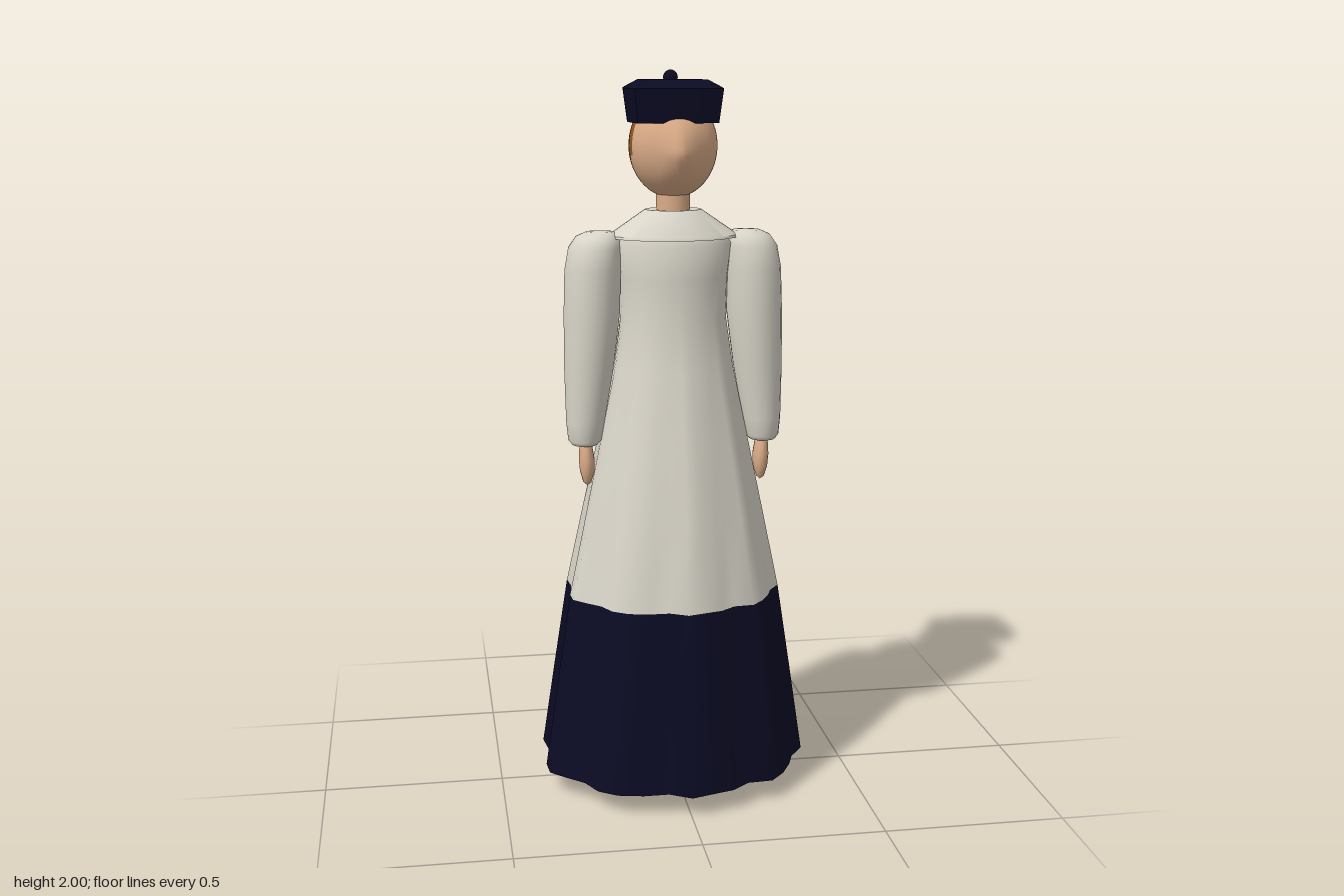
import * as THREE from 'three';
import { toCreasedNormals } from 'three/addons/utils/BufferGeometryUtils.js';

// Wavy hem outline as x, z pairs, running from the left side round the front
const HEM = [
  0.375, 0, 0.37, 0.055, 0.33, 0.11, 0.31, 0.165, 0.28, 0.22, 0.24, 0.265, 0.17, 0.27, 0.12, 0.31,
  0.06, 0.327, 0, 0.345, -0.06, 0.31, -0.13, 0.31, -0.2, 0.295, -0.25, 0.26, -0.28, 0.2, -0.33, 0.155,
  -0.37, 0.115, -0.375, 0.055, -0.365, 0, -0.36, -0.05, -0.37, -0.12, -0.34, -0.165, -0.28, -0.21,
  -0.23, -0.25, -0.2, -0.305, -0.13, -0.317, -0.065, -0.325, 0, -0.32, 0.06, -0.345, 0.12, -0.32,
  0.22, -0.25, 0.29, -0.225, 0.32, -0.17, 0.33, -0.11, 0.355, -0.05,
];

// Joins rings of points, listed from bottom to top, into one surface
function skin(rings) {
  const n = rings[0].length, index = [];
  for (let i = 0; i < rings.length - 1; i++) {
    for (let j = 0; j < n; j++) {
      const a = i * n + j, b = i * n + (j + 1) % n, c = a + n, d = b + n;
      index.push(a, c, b, b, c, d);
    }
  }
  const g = new THREE.BufferGeometry();
  g.setAttribute('position', new THREE.Float32BufferAttribute(rings.flat(2), 3));
  g.setIndex(index);
  g.computeVertexNormals();
  return g;
}

// Elliptical loft; each row is [y, centre x, centre z, radius x, radius z]
function loft(rows, side = 1, n = 24) {
  return skin(rows.map(([y, cx, cz, rx, rz]) => Array.from({ length: n }, (_, j) => {
    const a = j / n * Math.PI * 2;
    return [cx * side + rx * Math.cos(a), y, cz + rz * Math.sin(a)];
  })));
}

// Dress loft; each row is [y, radius x, radius z, strength of the folds]
function dressLoft(rows) {
  return skin(rows.map(([y, rx, rz, fold]) => Array.from({ length: HEM.length / 2 }, (_, j) => {
    const u = HEM[2 * j] / 0.375, v = HEM[2 * j + 1] / 0.345, len = Math.hypot(u, v);
    const k = (1 + (len - 1) * fold) / len;
    return [u * k * rx, y, v * k * rz];
  })));
}

// Egg-shaped head with a pointed nose; triangles are split into face and hair
function headGeometry() {
  const g = new THREE.SphereGeometry(1, 48, 36);
  const p = g.attributes.position;
  for (let i = 0; i < p.count; i++) {
    const x = p.getX(i) * 0.12, y = 1.8 + p.getY(i) * 0.14;
    let z = p.getZ(i) * (p.getZ(i) > 0 ? 0.125 : 0.135);
    if (z > 0) z += 0.026 * Math.max(0, 1 - Math.abs(x) / 0.06) * Math.max(0, 1 - Math.abs(y - 1.78) / 0.1);
    p.setXYZ(i, x, y, z);
  }
  g.computeVertexNormals();
  const face = [], hair = [], idx = g.index.array;
  for (let t = 0; t < idx.length; t += 3) {
    const tri = [idx[t], idx[t + 1], idx[t + 2]];
    const y = tri.reduce((s, i) => s + p.getY(i), 0) / 3;
    const z = tri.reduce((s, i) => s + p.getZ(i), 0) / 3;
    (z < 0.03 - Math.max(0, 1.785 - y) * 0.8 ? hair : face).push(...tri);
  }
  g.setIndex([...face, ...hair]);
  g.clearGroups();
  g.addGroup(0, face.length, 0);
  g.addGroup(face.length, hair.length, 1);
  return g;
}

// Square cap with bulging sides, flared upwards, with a low raised crown
function capGeometry() {
  const h = 0.119;
  const g = new THREE.BoxGeometry(2 * h, 0.09, 2 * h, 12, 2, 12);
  const p = g.attributes.position;
  for (let i = 0; i < p.count; i++) {
    const x = p.getX(i), z = p.getZ(i), t = p.getY(i) / 0.09 + 0.5;
    const flare = 0.91 + 0.09 * t;
    const crown = 0.022 * Math.min(1, (1 - Math.max(Math.abs(x), Math.abs(z)) / h) / 0.33);
    p.setXYZ(i,
      x * flare * (1 + 0.09 * (1 - (z / h) ** 2)),
      1.862 + 0.09 * t + (t > 0.99 ? crown : 0),
      z * flare * (1 + 0.09 * (1 - (x / h) ** 2)) - 0.012);
  }
  return toCreasedNormals(g, 0.5);
}

export function createModel() {
  const model = new THREE.Group();
  model.name = 'womanInLongDress';
  const material = (name, color, extra = {}) => {
    const m = new THREE.MeshStandardMaterial({ color, ...extra });
    m.name = name;
    return m;
  };
  const cream = material('creamCloth', 0xd8d4c8, { side: THREE.DoubleSide });
  const navy = material('navyCloth', 0x0b0b24, { side: THREE.DoubleSide });
  const skinTone = material('skin', 0xdbac88);
  const brown = material('brownHair', 0x8a5522);
  const add = (name, geometry, mat) => {
    const mesh = new THREE.Mesh(geometry, mat);
    mesh.name = name;
    model.add(mesh);
    return mesh;
  };

  // Dress
  add('skirtBand', dressLoft([[0.06, 0.375, 0.345, 1], [0.31, 0.338, 0.31, 0.98], [0.56, 0.3, 0.275, 0.95]]), navy);
  add('dress', dressLoft([
    [0.56, 0.3, 0.275, 0.95], [0.8, 0.25, 0.235, 0.8], [1.0, 0.208, 0.192, 0.6], [1.2, 0.166, 0.15, 0.3],
    [1.33, 0.147, 0.127, 0.1], [1.45, 0.15, 0.128, 0], [1.54, 0.162, 0.126, 0], [1.58, 0.13, 0.1, 0], [1.6, 0.05, 0.05, 0],
  ]), cream);
  add('collar', toCreasedNormals(loft([
    [1.558, 0, 0, 0.1, 0.08], [1.555, 0, 0, 0.178, 0.134], [1.562, 0, 0, 0.176, 0.132],
    [1.63, 0, 0, 0.077, 0.066], [1.628, 0, 0, 0.04, 0.04],
  ], 1, 32), 0.6), cream);

  // Head and cap
  const neck = add('neck', new THREE.CylinderGeometry(0.046, 0.046, 0.14, 24), skinTone);
  neck.position.y = 1.65;
  add('head', headGeometry(), [skinTone, brown]);
  add('cap', capGeometry(), navy);
  const button = add('capButton', new THREE.SphereGeometry(0.02, 16, 12), navy);
  button.position.set(-0.005, 1.98, -0.012);

  // Arms, hands, legs and boots
  for (const [label, s] of [['left', 1], ['right', -1]]) {
    add(label + 'Sleeve', loft([
      [0.988, 0.25, 0.018, 0, 0], [0.988, 0.25, 0.018, 0.036, 0.042], [1.0, 0.25, 0.018, 0.046, 0.054],
      [1.05, 0.248, 0.017, 0.053, 0.058], [1.2, 0.236, 0.012, 0.068, 0.073], [1.35, 0.226, 0.008, 0.077, 0.085],
      [1.47, 0.222, 0.005, 0.077, 0.087], [1.53, 0.215, 0.005, 0.073, 0.08], [1.56, 0.207, 0.005, 0.06, 0.06],
      [1.572, 0.202, 0.005, 0.038, 0.036], [1.575, 0.2, 0.005, 0, 0],
    ], s), cream);
    add(label + 'Hand', loft([
      [0.87, 0.245, 0.022, 0, 0], [0.88, 0.245, 0.022, 0.011, 0.018], [0.91, 0.245, 0.022, 0.02, 0.03],
      [0.945, 0.246, 0.022, 0.022, 0.033], [0.98, 0.248, 0.021, 0.018, 0.027], [1.01, 0.25, 0.02, 0.015, 0.02],
    ], s, 16), skinTone);
    add(label + 'Boot', loft([
      [0, 0.093, 0.035, 0, 0], [0, 0.093, 0.035, 0.033, 0.085], [0.018, 0.093, 0.035, 0.046, 0.103],
      [0.05, 0.093, 0.035, 0.048, 0.103], [0.075, 0.093, 0.02, 0.044, 0.08], [0.1, 0.093, -0.01, 0.043, 0.048],
      [0.16, 0.093, -0.015, 0.045, 0.048], [0.18, 0.093, -0.015, 0.05, 0.053], [0.2, 0.093, -0.015, 0.045, 0.048],
    ], s, 20), navy);
    add(label + 'Leg', loft([
      [0.18, 0.093, -0.015, 0.046, 0.048], [0.4, 0.092, -0.01, 0.058, 0.06], [0.7, 0.085, 0, 0.068, 0.07], [0.7, 0.085, 0, 0, 0],
    ], s, 20), navy);
  }
  return model;
}
